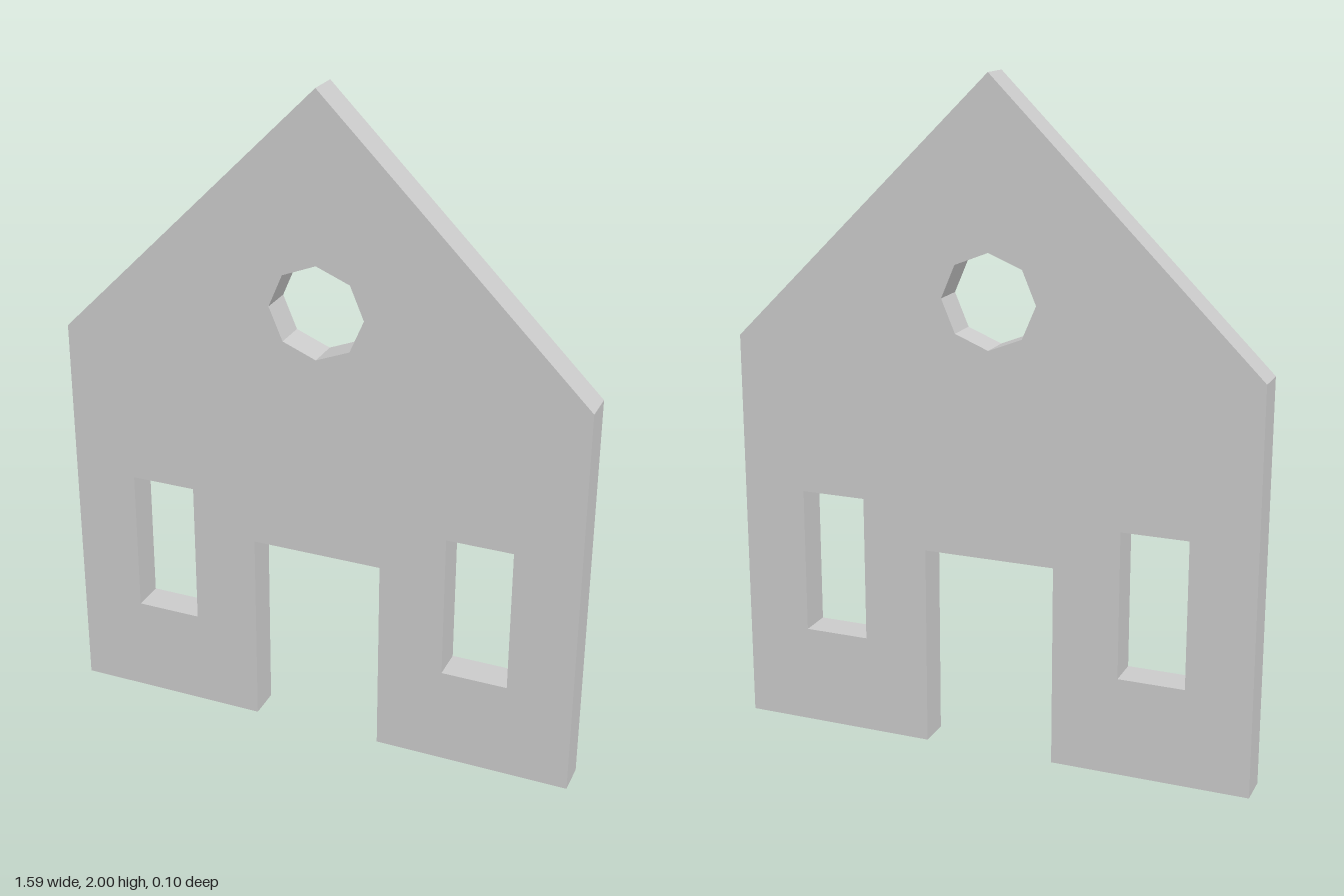
import * as THREE from 'three';

const DEPTH = 0.1;

// closed path through a list of corner points
const outline = (Type, points) => new Type(points.map(([x, y]) => new THREE.Vector2(x, y)));

export function createModel() {
  const group = new THREE.Group();
  group.name = 'houseFacade';

  // gabled wall outline with the doorway cut into its lower edge
  const wall = outline(THREE.Shape, [
    [-0.797, 0], [-0.2, 0], [-0.2, 0.61], [0.2, 0.61], [0.2, 0],
    [0.797, 0], [0.797, 1.21], [0, 2], [-0.797, 1.21],
  ]);

  // pair of rectangular windows
  for (const side of [-1, 1]) {
    const inner = side * 0.4, outer = side * 0.6;
    wall.holes.push(outline(THREE.Path, [
      [inner, 0.3], [outer, 0.3], [outer, 0.745], [inner, 0.745],
    ]));
  }

  // octagonal gable window
  const octagon = [];
  for (let i = 0; i < 8; i++) {
    const a = (i * Math.PI) / 4;
    octagon.push([0.143 * Math.cos(a), 1.37 + 0.139 * Math.sin(a)]);
  }
  wall.holes.push(outline(THREE.Path, octagon));

  const geometry = new THREE.ExtrudeGeometry(wall, { depth: DEPTH, bevelEnabled: false });
  geometry.translate(0, 0, -DEPTH / 2);

  const material = new THREE.MeshStandardMaterial({ color: 0xcccccc, flatShading: true });
  const mesh = new THREE.Mesh(geometry, material);
  mesh.name = 'gableWall';
  group.add(mesh);
  return group;
}
